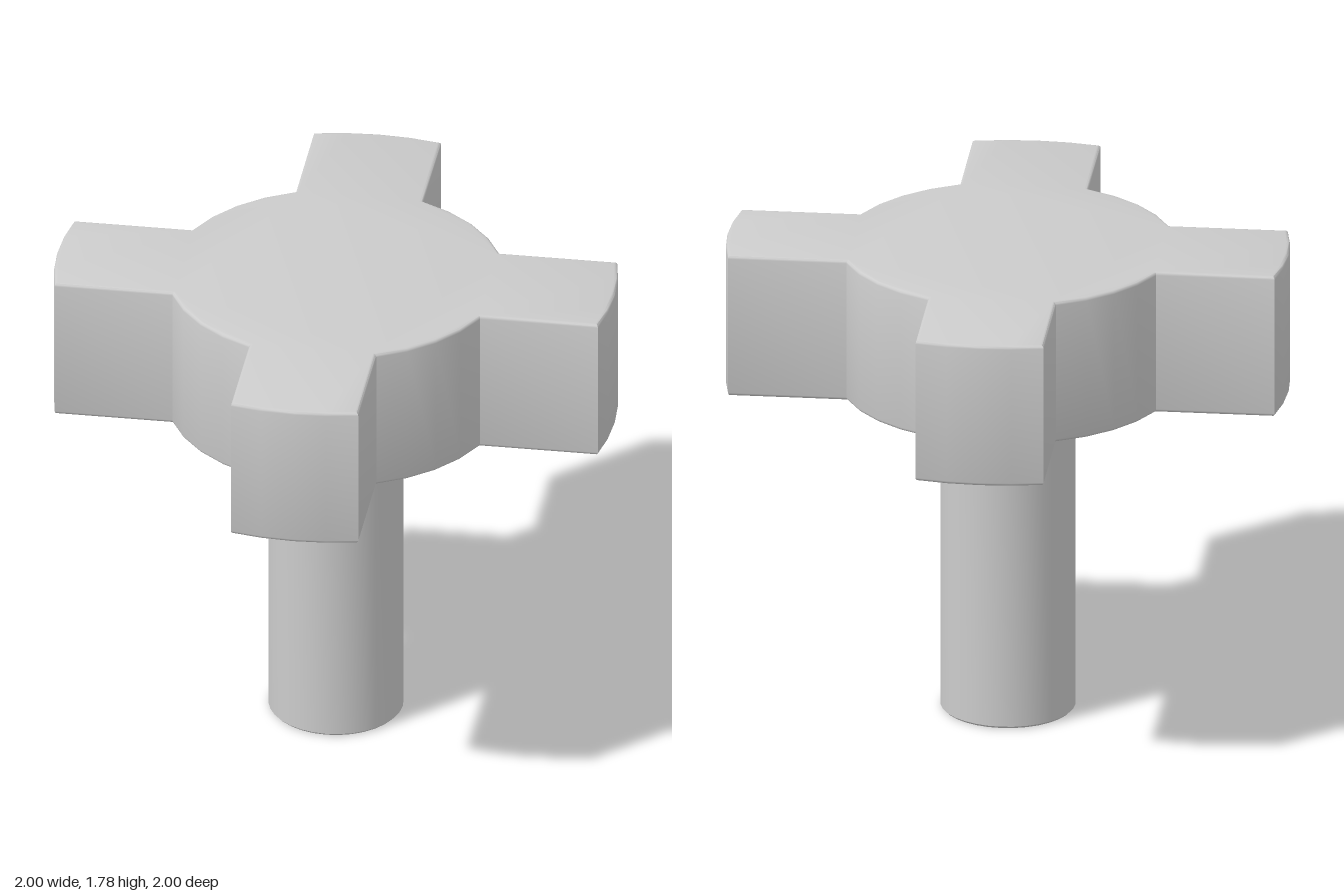
import * as THREE from 'three';
import { toCreasedNormals } from 'three/addons/utils/BufferGeometryUtils.js';

const HUB_R = 0.605, TIP_R = 1.013, SHAFT_R = 0.243;
const HEAD_BOTTOM = 1.24, HEAD_TOP = 1.78, BEVEL = 0.012;

// Outline of the head: four parallel-sided lobes with round tips, joined by hub arcs
function headShape() {
  const points = [];
  const addArc = (radius, from, to, steps) => {
    for (let i = 0; i <= steps; i++) {
      const a = from + (to - from) * i / steps;
      points.push(new THREE.Vector2(radius * Math.cos(a), radius * Math.sin(a)));
    }
  };
  const eighth = Math.PI / 4;
  const tipHalf = Math.asin(HUB_R * Math.sin(eighth / 2) / TIP_R);
  for (let k = 0; k < 4; k++) {
    const start = k * Math.PI / 2, mid = start + eighth / 2;
    addArc(TIP_R, mid - tipHalf, mid + tipHalf, 4);
    addArc(HUB_R, start + eighth, start + 2 * eighth, 4);
  }
  return new THREE.Shape(points);
}

export function createModel() {
  const group = new THREE.Group();
  const material = new THREE.MeshStandardMaterial({ color: 0xcccccc });
  const add = (name, geometry) => {
    const mesh = new THREE.Mesh(toCreasedNormals(geometry, 0.6), material);
    mesh.name = name;
    group.add(mesh);
  };

  // Lobed head with slightly softened rims
  const head = new THREE.ExtrudeGeometry(headShape(), {
    depth: HEAD_TOP - HEAD_BOTTOM - 2 * BEVEL,
    bevelThickness: BEVEL, bevelSize: BEVEL, bevelOffset: -BEVEL, bevelSegments: 3,
  });
  head.rotateX(-Math.PI / 2);
  head.translate(0, HEAD_BOTTOM + BEVEL, 0);
  add('lobedHead', head);

  // Round shaft, its top set into the head
  const profile = [[0, 0], [SHAFT_R - 0.008, 0], [SHAFT_R, 0.008], [SHAFT_R, HEAD_BOTTOM + 0.02]];
  add('shaft', new THREE.LatheGeometry(profile.map(([r, y]) => new THREE.Vector2(r, y)), 32));

  return group;
}
